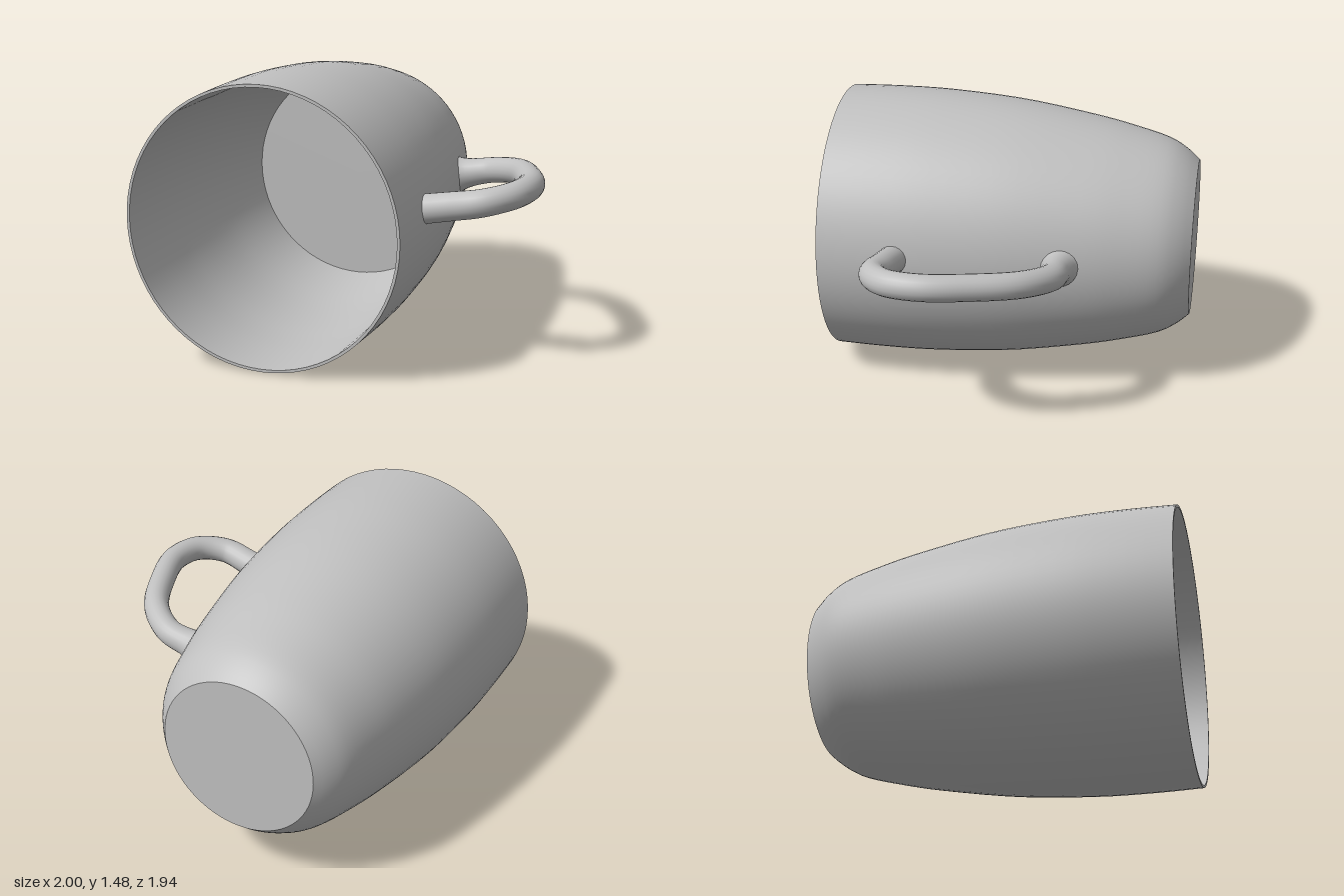
import * as THREE from 'three';

const grey = new THREE.MeshStandardMaterial({ color: 0xc0c0c0 });
grey.name = 'plain grey';

// Surface of revolution about the z axis from [radius, z] points
function turned(name, pts, smooth) {
  let profile = pts.map(([r, z]) => new THREE.Vector2(r, z));
  if (smooth) profile = new THREE.SplineCurve(profile).getPoints(28);
  const geo = new THREE.LatheGeometry(profile, 72);
  geo.rotateX(Math.PI / 2);
  const mesh = new THREE.Mesh(geo, grey);
  mesh.name = name;
  return mesh;
}

// Curved handle, flared where it meets the tapering wall
function makeHandle() {
  const path = [
    [0.375, -0.3], [0.45, -0.3], [0.58, -0.29], [0.75, -0.16], [0.87, 0.08],
    [0.932, 0.31], [0.89, 0.49], [0.76, 0.585], [0.6, 0.575], [0.463, 0.56],
  ].map(([x, z]) => new THREE.Vector3(x, 0.82 + (x - 0.47) * 0.2, z));
  const curve = new THREE.CatmullRomCurve3(path);
  const rings = 72, sides = 20, radius = 0.069;
  const geo = new THREE.TubeGeometry(curve, rings, radius, sides);
  const pos = geo.attributes.position;
  const v = new THREE.Vector3();
  for (let i = 0; i <= rings; i++) {
    const t = i / rings;
    const centre = curve.getPointAt(t);
    const scale = 1 + 0.5 * Math.exp(-t * 28) + 0.1 * Math.max(0, (t - 0.75) / 0.25);
    for (let j = 0; j <= sides; j++) {
      const k = i * (sides + 1) + j;
      v.fromBufferAttribute(pos, k).sub(centre).multiplyScalar(scale).add(centre);
      pos.setXYZ(k, v.x, v.y, v.z);
    }
  }
  geo.computeVertexNormals();
  // Close the shading seam along the tube
  const n = geo.attributes.normal;
  for (let i = 0; i <= rings; i++) {
    const a = i * (sides + 1), b = a + sides;
    v.fromBufferAttribute(n, a).add(new THREE.Vector3().fromBufferAttribute(n, b)).normalize();
    n.setXYZ(a, v.x, v.y, v.z);
    n.setXYZ(b, v.x, v.y, v.z);
  }
  const mesh = new THREE.Mesh(geo, grey);
  mesh.name = 'handle';
  return mesh;
}

export function createModel() {
  const mug = new THREE.Group();
  mug.name = 'mug';

  // Body lies on its side with the mouth facing front
  const body = new THREE.Group();
  body.name = 'body';
  body.position.set(-0.262, 0.738, 0);
  body.add(
    turned('base', [[0, -0.97], [0.425, -0.97]]),
    turned('outerWall', [
      [0.425, -0.97], [0.485, -0.9], [0.54, -0.8], [0.59, -0.62], [0.638, -0.4],
      [0.702, 0], [0.733, 0.4], [0.738, 0.7], [0.732, 0.97],
    ], true),
    turned('rim', [[0.732, 0.97], [0.717, 0.97]]),
    turned('innerWall', [
      [0.717, 0.97], [0.717, 0.7], [0.71, 0.4], [0.677, 0], [0.6, -0.41],
    ], true),
    turned('innerFloor', [[0.6, -0.41], [0, -0.41]]),
  );

  mug.add(body, makeHandle());
  return mug;
}
